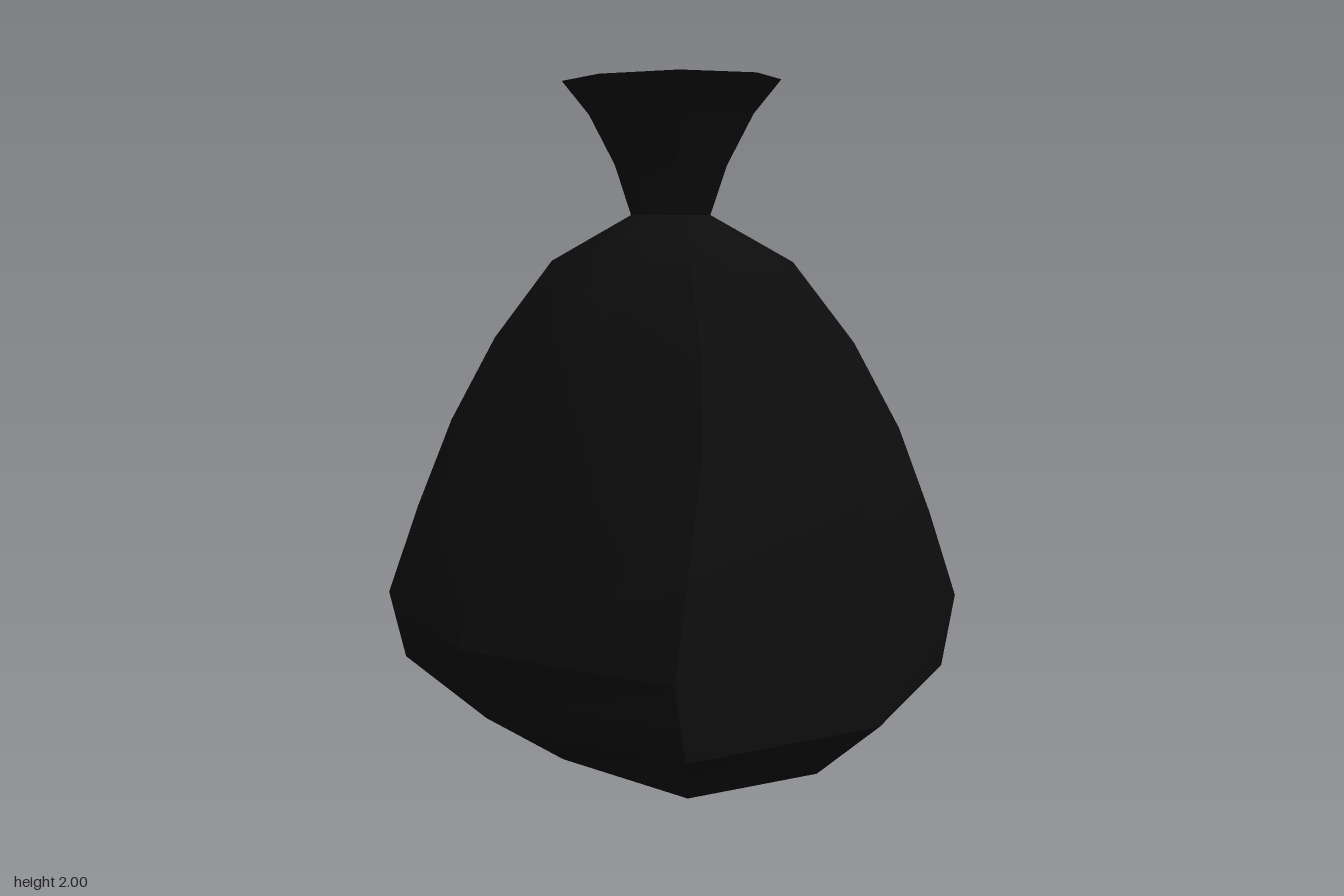
import * as THREE from 'three';
import { toCreasedNormals } from 'three/addons/utils/BufferGeometryUtils.js';

// Each ring: height, side radius, front radius, corner x, corner z
const BODY = [
  [0, 0.60, 0.45, 0.46, 0.39],
  [0.20, 0.82, 0.73, 0.63, 0.57],
  [0.42, 0.82, 0.82, 0.64, 0.62],
  [0.69, 0.79, 0.73, 0.60, 0.53],
  [0.96, 0.72, 0.59, 0.55, 0.43],
  [1.22, 0.60, 0.46, 0.45, 0.33],
  [1.46, 0.42, 0.31, 0.30, 0.22],
  [1.60, 0.10, 0.14, 0.07, 0.10],
];
const NECK = [
  [1.60, 0.10, 0.14, 0.07, 0.10],
  [1.75, 0.18, 0.15, 0.13, 0.11],
  [1.90, 0.26, 0.21, 0.19, 0.16],
  [2.00, 0.345, 0.29, 0.25, 0.215],
];
// Runs from the outer rim inwards and down to the closed throat
const MOUTH = [
  [2.00, 0.345, 0.29, 0.25, 0.215],
  [1.98, 0.24, 0.20, 0.17, 0.155],
  [1.66, 0.08, 0.07, 0.06, 0.05],
];

// Eight corners, counter-clockwise seen from above
function ringPoints([y, rx, rz, cx, cz]) {
  return [
    [rx, y, 0], [cx, y, -cz], [0, y, -rz], [-cx, y, -cz],
    [-rx, y, 0], [-cx, y, cz], [0, y, rz], [cx, y, cz],
  ];
}

// Skin between successive rings, with optional flat end caps
function loft(rings, capStart, capEnd) {
  const loops = rings.map(ringPoints);
  const pos = [];
  const tri = (a, b, c) => pos.push(...a, ...b, ...c);
  const first = loops[0], last = loops[loops.length - 1];
  for (let i = 0; i < 8; i++) {
    const j = (i + 1) % 8;
    for (let k = 0; k < loops.length - 1; k++) {
      const lo = loops[k], hi = loops[k + 1];
      tri(lo[i], lo[j], hi[j]);
      tri(lo[i], hi[j], hi[i]);
    }
    if (capStart) tri([0, rings[0][0], 0], first[j], first[i]);
    if (capEnd) tri([0, rings[rings.length - 1][0], 0], last[i], last[j]);
  }
  const geometry = new THREE.BufferGeometry();
  geometry.setAttribute('position', new THREE.Float32BufferAttribute(pos, 3));
  return toCreasedNormals(geometry, 0.65);
}

export function createModel() {
  const group = new THREE.Group();
  group.name = 'tiedBag';
  const plastic = new THREE.MeshStandardMaterial({ color: 0x0d0d0d });
  plastic.name = 'blackPlastic';

  const add = (name, geometry) => {
    const mesh = new THREE.Mesh(geometry, plastic);
    mesh.name = name;
    group.add(mesh);
  };
  add('bagBody', loft(BODY, true, false));
  add('gatheredNeck', loft(NECK, false, false));
  add('openMouth', loft(MOUTH, false, true));
  return group;
}
